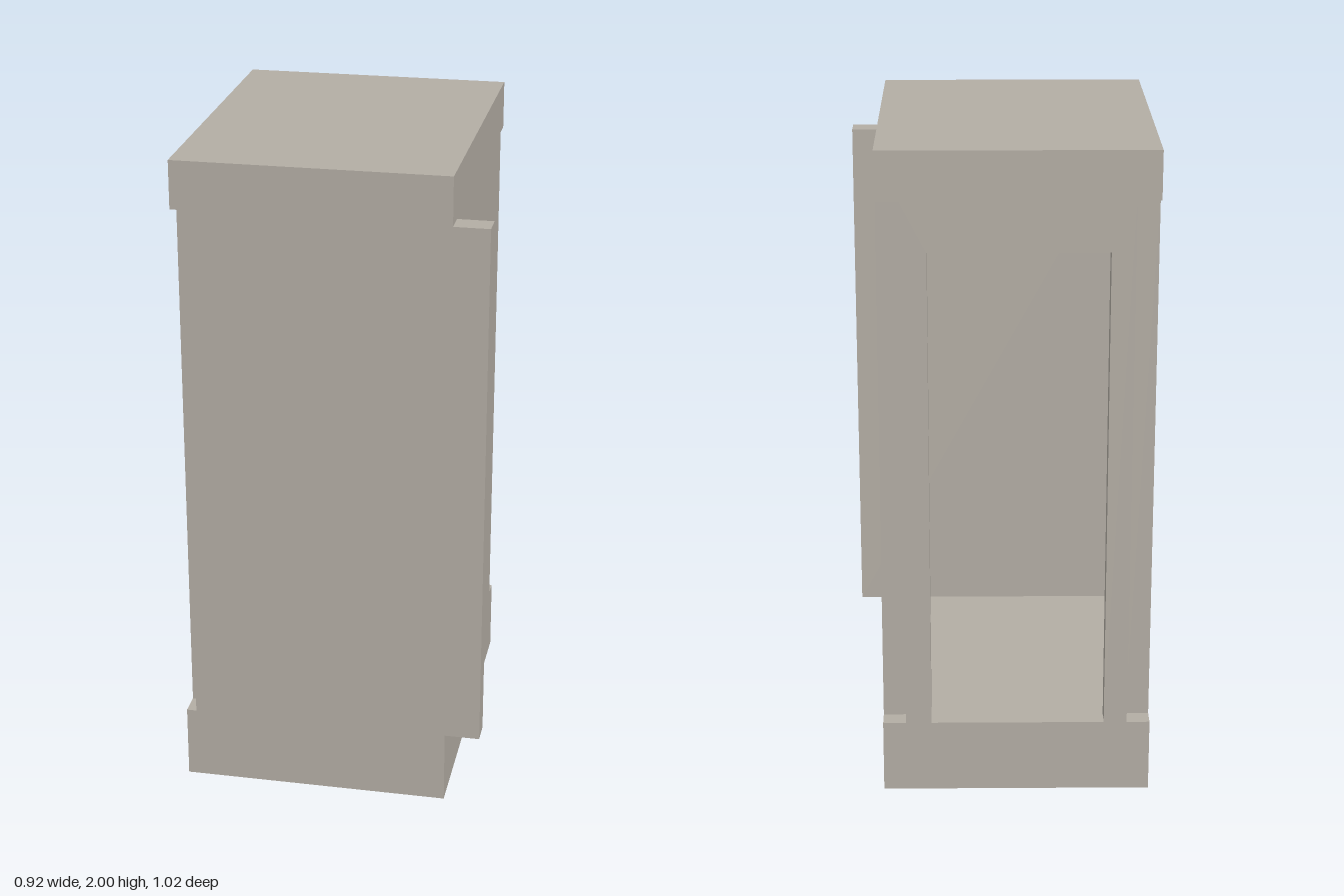
import * as THREE from 'three';

export function createModel() {
  const model = new THREE.Group();
  const paint = new THREE.MeshStandardMaterial({ color: 0xb3ada4 });
  paint.name = 'warmGrey';

  // Box given by its lower and upper corners
  const slab = (name, [x0, y0, z0], [x1, y1, z1]) => {
    const mesh = new THREE.Mesh(new THREE.BoxGeometry(x1 - x0, y1 - y0, z1 - z0), paint);
    mesh.name = name;
    mesh.position.set((x0 + x1) / 2, (y0 + y1) / 2, (z0 + z1) / 2);
    model.add(mesh);
  };

  const low = 0.225, high = 1.855;   // top of plinth, underside of cap
  const right = -0.46, left = 0.352; // outer faces of the cabinet sides
  const wall = 0.07;

  // Plinth and cap
  slab('plinth', [right, 0, -0.508], [left, low, 0.508]);
  slab('cap', [right, high, -0.508], [left, 2, 0.508]);

  // Side walls, stopping short of the front and back
  slab('leftWall', [left - wall, low, -0.45], [left, high, 0.437]);
  slab('rightWall', [right, low, -0.45], [right + wall, high, 0.437]);

  // Front panel, shifted sideways past the left wall
  slab('frontPanel', [-0.43, low, 0.437], [0.458, high, 0.508]);

  // Back frame around a doorway that reaches down to the plinth
  const frame = new THREE.Shape();
  [[-0.39, low], [-0.32, low], [-0.32, 1.705], [0.205, 1.705], [0.205, low],
    [0.282, low], [0.282, high], [-0.39, high]].forEach(([x, y], i) =>
    i ? frame.lineTo(x, y) : frame.moveTo(x, y));
  const backFrame = new THREE.Mesh(
    new THREE.ExtrudeGeometry(frame, { depth: 0.058, bevelEnabled: false }), paint);
  backFrame.name = 'backFrame';
  backFrame.position.z = -0.508;
  model.add(backFrame);

  // Thin plate on the inside of the right wall
  slab('innerPlate', [right + wall, 0.675, -0.43], [right + wall + 0.015, 1.41, -0.23]);

  return model;
}
